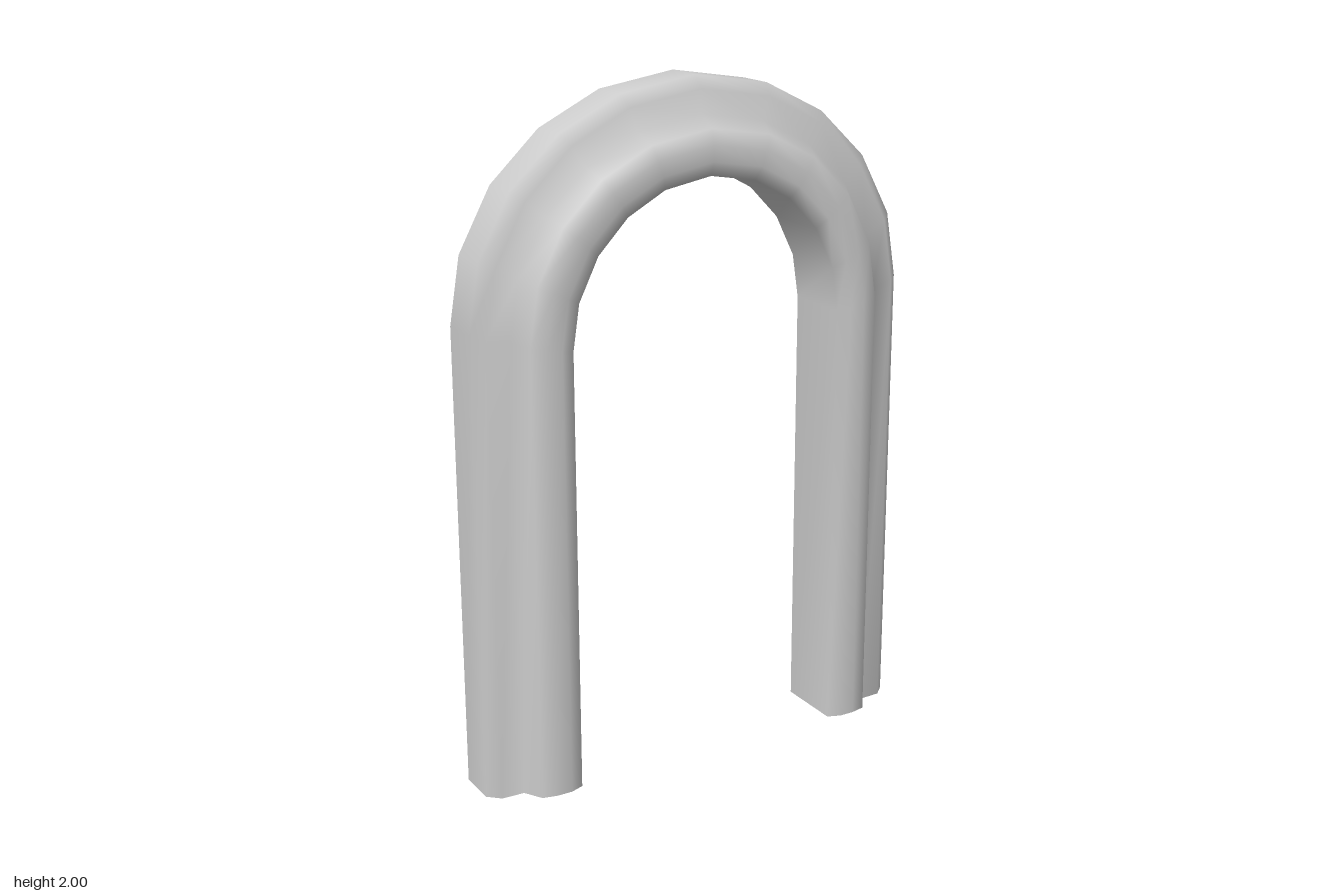
import * as THREE from 'three';

// Moulding cross-section from outer back edge to inner back edge: [distance from centre line, z]
const PROFILE = [
  [0.695, -0.11], [0.695, 0.01], [0.66, 0.043], [0.592, 0.046], [0.56, 0.1],
  [0.515, 0.11], [0.47, 0.11], [0.43, 0.095], [0.43, -0.11],
];
// Angles of the faceted arch, from one spring line to the crown
const HALF = [0, 17.5, 35.5, 53, 70.5];
const ANGLES = [...HALF, 90, ...HALF.map((a) => 180 - a).reverse()];

// One cross-section ring of the arch at the given angle
function archRing(degrees) {
  const a = THREE.MathUtils.degToRad(degrees);
  return PROFILE.map(([r, z]) => {
    const spring = 1.3 + 0.06 * (r - 0.43) / 0.265;
    const rise = 1.305 + r - spring;
    return [r * Math.cos(a), spring + rise * Math.sin(a), z];
  });
}

// Foot of a leg, on the floor
const footRing = (side) => PROFILE.map(([r, z]) => [side * r, 0, z]);

// Joins neighbouring rings into an open strip
function sweep(rings) {
  const n = PROFILE.length;
  const index = [];
  for (let i = 0; i < rings.length - 1; i++) {
    for (let j = 0; j < n - 1; j++) {
      const a = i * n + j, b = a + n;
      index.push(a, b, a + 1, b, b + 1, a + 1);
    }
  }
  const geometry = new THREE.BufferGeometry();
  geometry.setAttribute('position', new THREE.Float32BufferAttribute(rings.flat(2), 3));
  geometry.setIndex(index);
  geometry.computeVertexNormals();
  return geometry;
}

export function createModel() {
  const group = new THREE.Group();
  group.name = 'archedFrame';
  // Hollow moulding, open at the back and at both feet
  const material = new THREE.MeshStandardMaterial({ color: 0xcccccc, side: THREE.DoubleSide });
  const rings = [footRing(1), ...ANGLES.map(archRing), footRing(-1)];
  const moulding = new THREE.Mesh(sweep(rings), material);
  moulding.name = 'archMoulding';
  group.add(moulding);
  return group;
}
